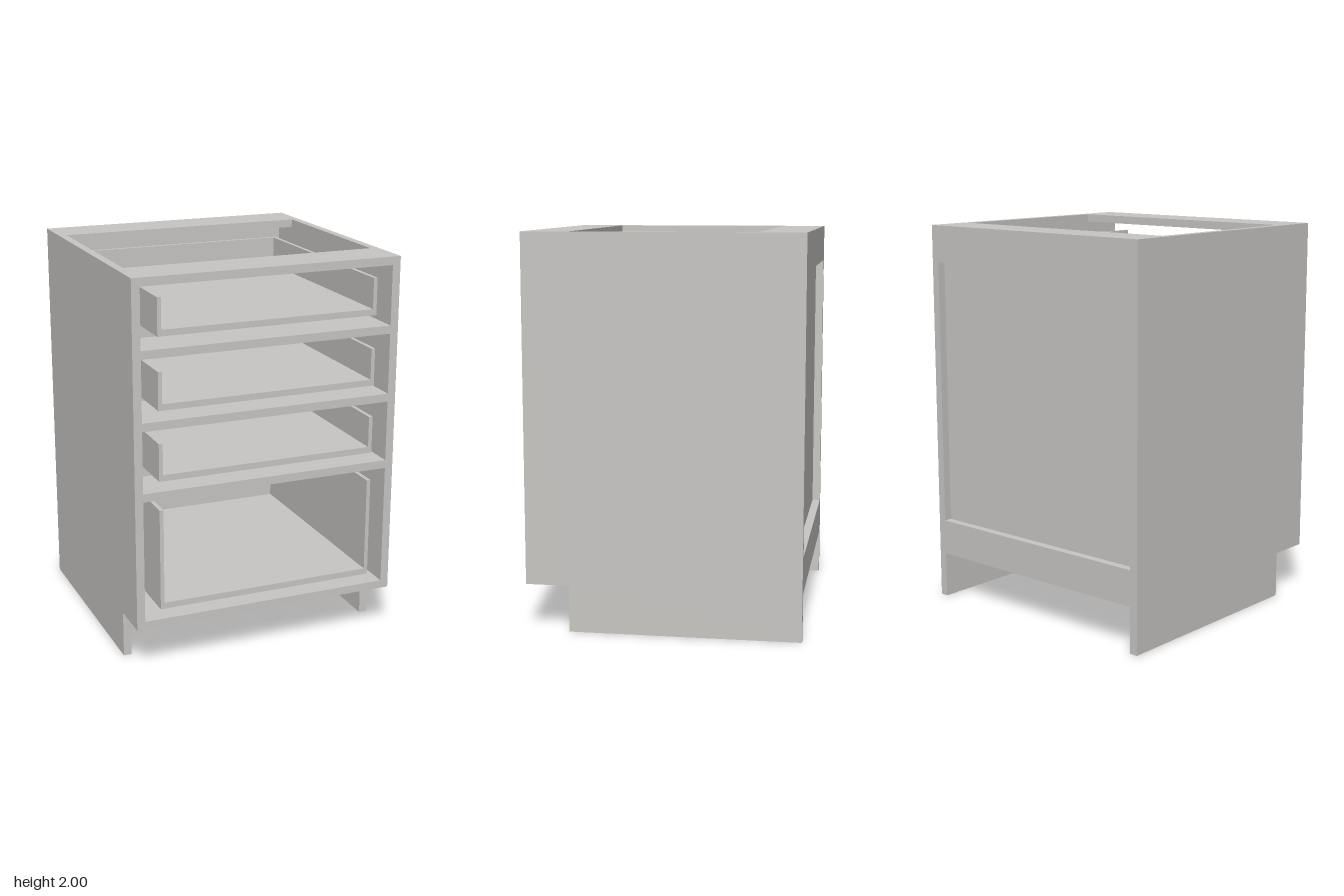
import * as THREE from 'three';

const HALF = 0.696;          // half width and half depth
const T = 0.042;             // board thickness
const IN = HALF - T;         // inner half width
const FLOOR = 0.238;         // underside of the bottom panel
const RAIL = 0.235;          // depth of the flat stretchers

export function createModel() {
  const group = new THREE.Group();
  group.name = 'drawerCabinet';
  const grey = new THREE.MeshStandardMaterial({ color: 0xc8c7c4 });
  grey.name = 'warm grey';

  // Box given by its minimum and maximum on each axis
  function board(name, [x0, x1], [y0, y1], [z0, z1], parent = group) {
    const mesh = new THREE.Mesh(new THREE.BoxGeometry(x1 - x0, y1 - y0, z1 - z0), grey);
    mesh.position.set((x0 + x1) / 2, (y0 + y1) / 2, (z0 + z1) / 2);
    mesh.name = name;
    parent.add(mesh);
  }

  // Side panels with a toe-kick notch at the lower front
  const outline = new THREE.Shape([
    [-HALF, 0], [0.475, 0], [0.475, FLOOR], [HALF, FLOOR], [HALF, 2], [-HALF, 2],
  ].map(([z, y]) => new THREE.Vector2(z, y)));
  const sideGeometry = new THREE.ExtrudeGeometry(outline, { depth: T, bevelEnabled: false });
  sideGeometry.rotateY(-Math.PI / 2);
  for (const [name, x] of [['leftSide', HALF], ['rightSide', -IN]]) {
    const side = new THREE.Mesh(sideGeometry, grey);
    side.position.x = x;
    side.name = name;
    group.add(side);
  }

  // Bottom, top stretchers and the front rails between drawers
  const across = [-IN, IN];
  const front = [HALF - RAIL, HALF];
  board('bottomPanel', across, [FLOOR, FLOOR + T], [-HALF, HALF]);
  board('topBackStretcher', across, [2 - T, 2], [-HALF, -HALF + RAIL - 0.004]);
  board('topFrontStretcher', across, [2 - T, 2], front);
  for (const y of [0.907, 1.261, 1.613]) board('dividerRail', across, [y, y + T], front);

  // Recessed back panel with upright rails above and below
  board('backPanel', across, [FLOOR + T, 2 - T], [-HALF + T, -HALF + T + 0.02]);
  board('backTopRail', across, [1.81, 2 - T], [-HALF, -HALF + T]);
  board('backBottomRail', across, [FLOOR + T, 0.423], [-HALF, -HALF + T]);

  // Open-fronted drawers: [bottom, top]
  const W = 0.572, S = 0.02, BACK = -0.505;
  [[0.333, 0.853], [1.001, 1.192], [1.355, 1.546], [1.715, 1.902]].forEach(([y0, y1], i) => {
    const drawer = new THREE.Group();
    drawer.name = `drawer${i + 1}`;
    const base = y0 + 0.032;
    board('drawerBottom', [-W, W], [y0, base], [BACK, HALF], drawer);
    board('drawerLeftSide', [W - S, W], [base, y1], [BACK, HALF], drawer);
    board('drawerRightSide', [-W, S - W], [base, y1], [BACK, HALF], drawer);
    board('drawerBack', [S - W, W - S], [base, y1], [BACK, BACK + S], drawer);
    group.add(drawer);
  });

  return group;
}
